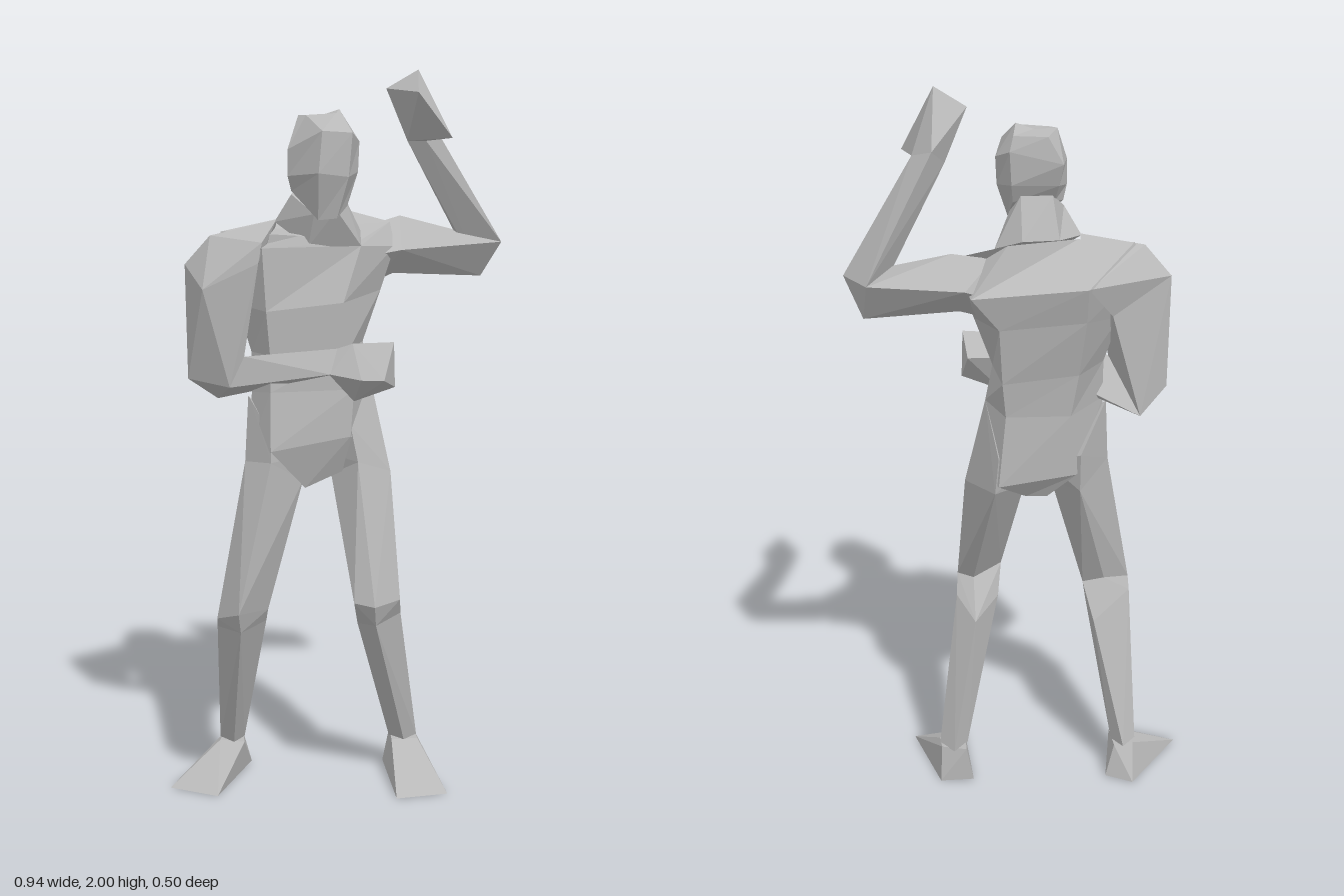
import * as THREE from 'three';
import { ConvexGeometry } from 'three/addons/geometries/ConvexGeometry.js';
import { mergeGeometries } from 'three/addons/utils/BufferGeometryUtils.js';

const grey = new THREE.MeshStandardMaterial({ color: 0xb8b8b8, flatShading: true });
grey.name = 'plain grey';

// Joins equal-sized rings of [x, y, z] corners, bottom to top, into a closed faceted skin.
function loft(rings) {
  const tris = [];
  const n = rings[0].length;
  const middle = (ring) => [0, 1, 2].map((k) => ring.reduce((s, p) => s + p[k], 0) / n);
  const first = rings[0], last = rings[rings.length - 1];
  const c0 = middle(first), c1 = middle(last);
  for (let i = 0; i < n; i++) {
    const j = (i + 1) % n;
    for (let r = 0; r < rings.length - 1; r++) {
      const a = rings[r], b = rings[r + 1];
      tris.push([a[i], a[j], b[j]], [a[i], b[j], b[i]]);
    }
    tris.push([c0, first[j], first[i]], [c1, last[i], last[j]]);
  }
  const geometry = new THREE.BufferGeometry();
  geometry.setAttribute('position', new THREE.Float32BufferAttribute(tris.flat(2), 3));
  geometry.computeVertexNormals();
  return geometry;
}

// Wraps each pair of neighbouring rings in a faceted convex skin.
function wrap(rings) {
  const pieces = [];
  for (let r = 0; r < rings.length - 1; r++) {
    const corners = [...rings[r], ...rings[r + 1]].map((p) => new THREE.Vector3(...p));
    pieces.push(new ConvexGeometry(corners));
  }
  return mergeGeometries(pieces);
}

function part(parent, name, geometry) {
  const mesh = new THREE.Mesh(geometry, grey);
  mesh.name = name;
  parent.add(mesh);
}

export function createModel() {
  const figure = new THREE.Group();
  figure.name = 'posedFigure';

  // Torso rings, crotch to shoulders: right, front right, front left, left, back left, back right
  part(figure, 'torso', loft([
    [[-0.1, 0.88, 0.02], [-0.085, 0.865, 0.05], [-0.02, 0.89, 0.03], [0, 0.9, -0.03], [-0.01, 0.88, -0.08], [-0.07, 0.87, -0.06]],
    [[-0.24, 0.96, 0.04], [-0.18, 0.98, 0.12], [0.04, 1.01, 0.06], [0.14, 0.95, -0.02], [0.07, 0.94, -0.155], [-0.15, 0.94, -0.08]],
    [[-0.23, 1.13, 0.02], [-0.18, 1.14, 0.1], [0.05, 1.14, 0.055], [0.1, 1.16, -0.06], [0.05, 1.14, -0.15], [-0.13, 1.12, -0.1]],
    [[-0.23, 1.24, 0.01], [-0.18, 1.24, 0.09], [0.03, 1.24, 0.06], [0.08, 1.26, -0.06], [0.06, 1.24, -0.17], [-0.15, 1.24, -0.11]],
    [[-0.27, 1.37, -0.01], [-0.19, 1.36, 0.1], [0.02, 1.38, 0.07], [0.13, 1.4, -0.08], [0.07, 1.4, -0.205], [-0.165, 1.4, -0.155]],
    [[-0.34, 1.5, 0.02], [-0.2, 1.53, 0.1], [0.07, 1.53, 0.02], [0.17, 1.52, -0.09], [0.145, 1.5, -0.25], [-0.165, 1.5, -0.19]],
    [[-0.31, 1.57, 0.02], [-0.1, 1.56, 0.06], [0.06, 1.54, 0.02], [0.16, 1.585, -0.14], [0.045, 1.615, -0.16], [-0.15, 1.6, -0.05]],
  ]));

  part(figure, 'neck', loft([
    [[-0.165, 1.595, 0.01], [-0.075, 1.53, 0.055], [0.07, 1.53, 0.03], [0.07, 1.57, -0.02], [0, 1.6, -0.07], [-0.1, 1.6, -0.06]],
    [[-0.12, 1.67, 0.04], [-0.06, 1.62, 0.09], [0, 1.63, 0.09], [0.025, 1.66, 0.04], [0, 1.71, -0.015], [-0.085, 1.71, -0.015]],
  ]));

  // Head rings: jaw, cheeks, brow, crown
  part(figure, 'head', loft([
    [[-0.12, 1.68, 0.06], [-0.05, 1.605, 0.11], [0, 1.61, 0.115], [0.03, 1.64, 0.06], [0.02, 1.69, 0], [-0.09, 1.69, 0]],
    [[-0.13, 1.72, 0.07], [-0.05, 1.73, 0.155], [0.03, 1.72, 0.14], [0.06, 1.73, 0.04], [0.025, 1.74, -0.025], [-0.1, 1.74, -0.035]],
    [[-0.13, 1.79, 0.07], [-0.04, 1.84, 0.15], [0.04, 1.835, 0.14], [0.065, 1.81, 0.015], [0.03, 1.83, -0.03], [-0.11, 1.8, -0.055]],
    [[-0.1, 1.88, 0.03], [-0.08, 1.88, 0.05], [0, 1.885, 0.06], [0.01, 1.895, 0.03], [0.02, 1.87, -0.02], [-0.07, 1.87, -0.04]],
  ]));

  // Raised left arm: each ring runs inner or top, back, outer or bottom, front
  const leftElbow = [[0.35, 1.54, -0.14], [0.41, 1.535, -0.235], [0.42, 1.43, -0.165], [0.47, 1.53, -0.105]];
  const leftWrist = [[0.2, 1.81, -0.05], [0.235, 1.85, -0.11], [0.285, 1.83, -0.05], [0.25, 1.81, -0.035]];
  part(figure, 'leftUpperArm', wrap([
    [[0.08, 1.57, -0.12], [0.12, 1.5, -0.22], [0.12, 1.42, -0.13], [0.12, 1.5, -0.05]],
    [[0.19, 1.6, -0.17], [0.16, 1.52, -0.25], [0.17, 1.44, -0.15], [0.19, 1.51, -0.08]],
    leftElbow,
  ]));
  part(figure, 'leftForearm', wrap([leftElbow, leftWrist]));
  part(figure, 'leftHand', wrap([
    leftWrist,
    [[0.14, 1.95, -0.03], [0.225, 2, -0.01], [0.31, 1.82, 0.08], [0.215, 1.94, 0.115]],
  ]));

  // Right arm folded over the waist: outer, front, inner, back
  const rightElbow = [[-0.405, 1.165, 0], [-0.29, 1.15, 0.07], [-0.25, 1.235, 0.07], [-0.325, 1.1, -0.06]];
  const rightWrist = [[-0.02, 1.19, 0.12], [-0.02, 1.2, 0.175], [0, 1.265, 0.14], [0, 1.23, 0.09]];
  const rightKnuckles = [[0.155, 1.16, 0.14], [0.12, 1.19, 0.228], [0.15, 1.285, 0.165], [0.14, 1.23, 0.085]];
  part(figure, 'rightUpperArm', wrap([
    [[-0.34, 1.56, 0.03], [-0.2, 1.545, 0.095], [-0.16, 1.6, 0.01], [-0.165, 1.5, -0.185]],
    [[-0.41, 1.48, 0], [-0.36, 1.42, 0.1], [-0.21, 1.49, 0.1], [-0.24, 1.4, -0.1]],
    rightElbow,
  ]));
  part(figure, 'rightForearm', wrap([rightElbow, rightWrist]));
  part(figure, 'rightHand', wrap([
    rightWrist,
    [[0.045, 1.12, 0.13], [0.06, 1.19, 0.22], [0.04, 1.28, 0.155], [0.07, 1.23, 0.085]],
    rightKnuckles,
  ]));

  // Legs: outer, front, inner, back; feet: outer heel, outer toe, inner toe, inner heel
  const legs = {
    left: {
      thigh: [
        [[0.1, 1.16, -0.06], [0.04, 1.04, 0.055], [-0.02, 0.95, -0.02], [0.07, 1.02, -0.15]],
        [[0.155, 0.9, 0], [0.06, 0.94, 0.07], [-0.01, 0.89, -0.02], [0.08, 0.92, -0.155]],
      ],
      knee: [[0.175, 0.56, 0.115], [0.1, 0.56, 0.195], [0.045, 0.565, 0.165], [0.13, 0.56, 0.08]],
      calf: [[0.18, 0.51, 0.07], [0.105, 0.5, 0.165], [0.058, 0.49, 0.1], [0.13, 0.465, -0.02]],
      ankle: [[0.24, 0.1, -0.07], [0.2, 0.1, -0.03], [0.16, 0.1, -0.07], [0.2, 0.105, -0.13]],
      foot: [
        [[0.235, 0.105, -0.1], [0.24, 0.1, -0.04], [0.165, 0.1, -0.03], [0.165, 0.105, -0.12]],
        [[0.24, 0, -0.115], [0.31, 0, 0.14], [0.165, 0, 0.17], [0.145, 0.005, -0.12]],
      ],
    },
    right: {
      thigh: [
        [[-0.24, 1.12, 0.02], [-0.18, 1.03, 0.11], [-0.07, 0.95, 0], [-0.16, 1, -0.09]],
        [[-0.25, 0.94, 0.04], [-0.18, 0.95, 0.125], [-0.09, 0.88, 0.02], [-0.16, 0.89, -0.08]],
      ],
      knee: [[-0.33, 0.52, 0.14], [-0.27, 0.56, 0.25], [-0.19, 0.53, 0.09], [-0.25, 0.55, 0.07]],
      calf: [[-0.33, 0.49, 0.11], [-0.265, 0.5, 0.215], [-0.195, 0.49, 0.06], [-0.21, 0.46, -0.03]],
      ankle: [[-0.33, 0.1, -0.08], [-0.29, 0.1, -0.03], [-0.26, 0.1, -0.08], [-0.29, 0.1, -0.13]],
      foot: [
        [[-0.32, 0.1, -0.11], [-0.33, 0.1, -0.05], [-0.26, 0.1, -0.03], [-0.265, 0.1, -0.12]],
        [[-0.315, 0, -0.165], [-0.47, 0, 0.06], [-0.335, 0, 0.13], [-0.24, 0.005, -0.13]],
      ],
    },
  };
  for (const [side, leg] of Object.entries(legs)) {
    part(figure, side + 'Thigh', wrap([...leg.thigh, leg.knee]));
    part(figure, side + 'Shin', wrap([leg.knee, leg.calf, leg.ankle]));
    part(figure, side + 'Foot', wrap(leg.foot));
  }
  return figure;
}
